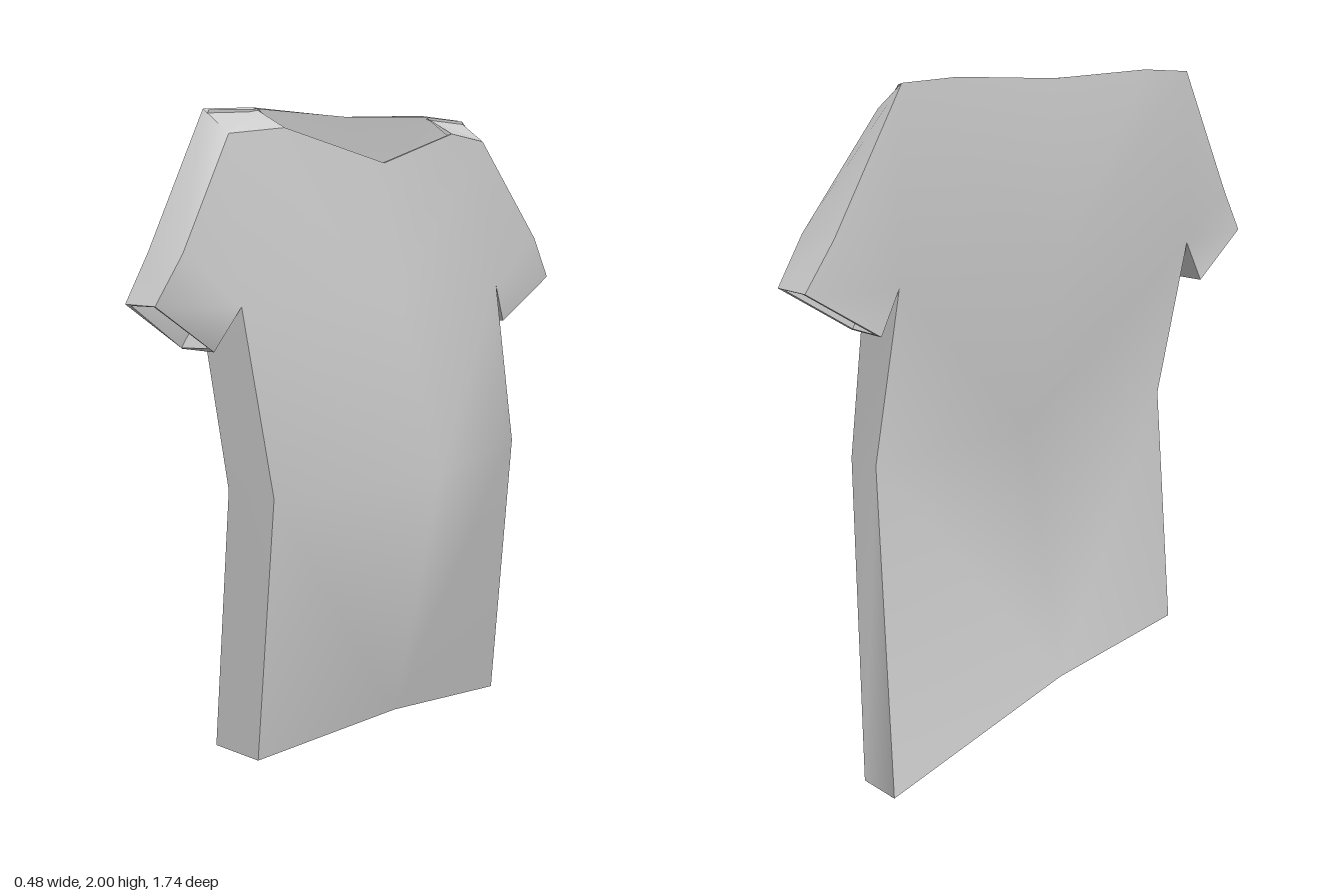
import * as THREE from 'three';
import { toCreasedNormals } from 'three/addons/utils/BufferGeometryUtils.js';

// Panel points as [x, y, |z|]; the shirt's chest faces +x, sleeves run along z.
const front = {
  centreNeck: [0.015, 1.845, 0], centreChest: [0.075, 1.45, 0], centreWaist: [0.24, 0.92, 0], centreHem: [0.06, 0.14, 0],
  neck: [-0.03, 1.94, 0.37], shoulder: [-0.055, 1.92, 0.56], sleeve: [0, 1.6, 0.78], tip: [-0.01, 1.465, 0.87],
  cuff: [-0.03, 1.325, 0.65], armpit: [0.025, 1.45, 0.595], waist: [0.155, 0.93, 0.605], hem: [0.07, 0.15, 0.6],
};
const back = {
  centreNeck: [-0.155, 1.985, 0], centreChest: [-0.19, 1.45, 0], centreWaist: [-0.03, 0.92, 0], centreHem: [-0.195, 0.14, 0],
  neck: [-0.16, 2, 0.37], shoulder: [-0.16, 1.99, 0.56], sleeve: [-0.145, 1.6, 0.78], tip: [-0.135, 1.465, 0.87],
  cuff: [-0.165, 1.325, 0.65], armpit: [-0.15, 1.45, 0.595], waist: [-0.03, 0.93, 0.605], hem: [-0.11, 0.15, 0.6],
};
// The -z side hangs lower and swings backwards.
const swungFront = { armpit: [-0.015, 1.45, 0.59], waist: [0.05, 0.93, 0.605], hem: [-0.1, 0, 0.7] };
const swungBack = { armpit: [-0.17, 1.45, 0.59], waist: [-0.065, 0.93, 0.605], hem: [-0.24, 0, 0.7] };

// Half of a panel, as triangle fans from the first corner.
const fans = [
  ['centreHem', 'hem', 'waist', 'centreWaist'],
  ['centreWaist', 'waist', 'armpit', 'centreChest'],
  ['centreChest', 'armpit', 'shoulder', 'neck', 'centreNeck'],
  ['armpit', 'cuff', 'tip', 'sleeve', 'shoulder'],
];
// Seams that join front and back; neck, cuffs and hem stay open.
const seams = [['hem', 'waist', 'armpit', 'cuff'], ['tip', 'sleeve', 'shoulder', 'neck']];

function outerShell() {
  const positions = [], index = [], ids = new Map();
  const vertex = (isFront, side, name) => {
    const centre = name.startsWith('centre');
    const key = `${isFront}${centre ? 0 : side}${name}`;
    if (!ids.has(key)) {
      const swung = side < 0 && (isFront ? swungFront : swungBack)[name];
      const [x, y, z] = swung || (isFront ? front : back)[name];
      ids.set(key, positions.length / 3);
      positions.push(x, y, z * side);
    }
    return ids.get(key);
  };
  const fan = (v, flip) => {
    for (let i = 1; i < v.length - 1; i++) {
      if (flip) index.push(v[0], v[i + 1], v[i]);
      else index.push(v[0], v[i], v[i + 1]);
    }
  };
  for (const side of [1, -1]) {
    for (const isFront of [true, false]) {
      for (const names of fans) fan(names.map(n => vertex(isFront, side, n)), (side > 0) === isFront);
    }
    for (const line of seams) {
      for (let i = 0; i < line.length - 1; i++) {
        const [a, b] = [line[i], line[i + 1]];
        fan([vertex(true, side, a), vertex(true, side, b), vertex(false, side, b), vertex(false, side, a)], side < 0);
      }
    }
  }
  return { positions, index };
}

// Gives a shell thickness: an inset lining plus rims around every opening.
function thicken({ positions, index }, thickness) {
  const shell = new THREE.BufferGeometry();
  shell.setAttribute('position', new THREE.Float32BufferAttribute(positions, 3));
  shell.setIndex(index);
  shell.computeVertexNormals();
  const normals = shell.attributes.normal.array;
  const count = positions.length / 3;
  const points = [...positions, ...positions.map((p, i) => p - normals[i] * thickness)];
  const faces = [...index];
  const edges = new Set();
  const eachEdge = fn => {
    for (let i = 0; i < index.length; i++) fn(index[i], index[i % 3 === 2 ? i - 2 : i + 1]);
  };
  for (let i = 0; i < index.length; i += 3) {
    faces.push(index[i] + count, index[i + 2] + count, index[i + 1] + count);
  }
  eachEdge((a, b) => edges.add(`${a},${b}`));
  eachEdge((a, b) => {
    if (!edges.has(`${b},${a}`)) faces.push(b, a, a + count, b, a + count, b + count);
  });
  const solid = new THREE.BufferGeometry();
  solid.setAttribute('position', new THREE.Float32BufferAttribute(points, 3));
  solid.setIndex(faces);
  return toCreasedNormals(solid, THREE.MathUtils.degToRad(40));
}

export function createModel() {
  const group = new THREE.Group();
  group.name = 'shirt';
  const material = new THREE.MeshStandardMaterial({ color: 0xcccccc });
  const cloth = new THREE.Mesh(thicken(outerShell(), 0.02), material);
  cloth.name = 'shirtCloth';
  group.add(cloth);
  return group;
}
